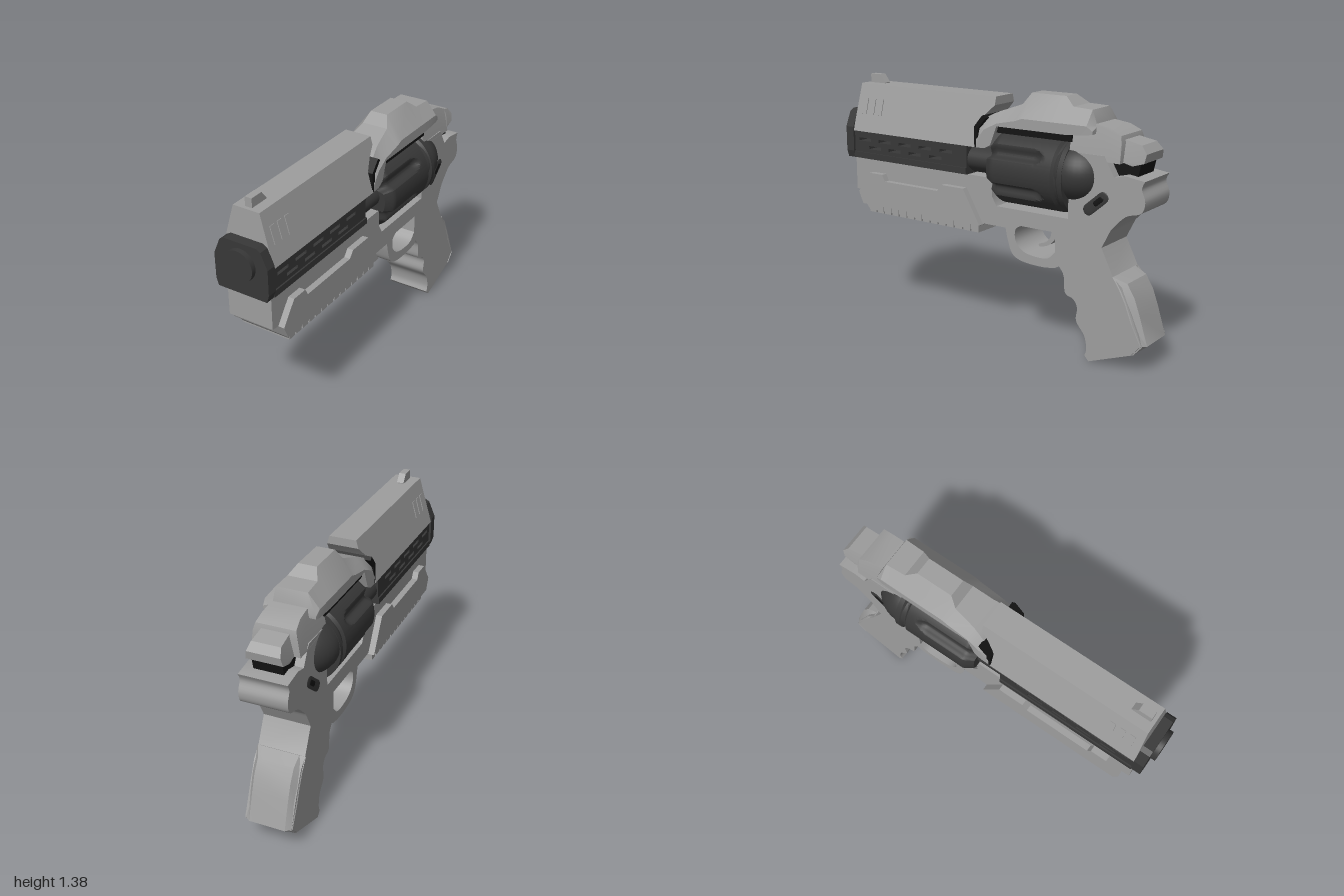
import * as THREE from 'three';
import { toCreasedNormals } from 'three/addons/utils/BufferGeometryUtils.js';

const grey = new THREE.MeshStandardMaterial({ color: 0x9e9e9e });
const dark = new THREE.MeshStandardMaterial({ color: 0x383838 });
const black = new THREE.MeshStandardMaterial({ color: 0x141414 });

const pts = (list) => list.map(([a, b]) => new THREE.Vector2(a, b));

// Side profile in [z, y], extruded evenly to both sides of x = 0
function profile(list, half, holes = []) {
  const shape = new THREE.Shape(pts(list));
  holes.forEach((h) => shape.holes.push(new THREE.Path(pts(h))));
  const geo = new THREE.ExtrudeGeometry(shape, { depth: half * 2, bevelEnabled: false });
  geo.translate(0, 0, -half);
  geo.rotateY(-Math.PI / 2);
  return toCreasedNormals(geo, 0.55);
}

// Narrow a profile with height: scale 1 at y0 down to k at y1
function taper(geo, y0, y1, k) {
  const p = geo.attributes.position;
  for (let i = 0; i < p.count; i++) {
    const t = THREE.MathUtils.clamp((p.getY(i) - y0) / (y1 - y0), 0, 1);
    p.setX(i, p.getX(i) * (1 + (k - 1) * t));
  }
  return toCreasedNormals(geo, 0.4);
}

// Skin over matching cross-sections, capped at both ends
function loft(sections) {
  const out = [];
  const tri = (...v) => v.forEach((q) => out.push(...q));
  const n = sections[0].length;
  for (let i = 0; i < sections.length - 1; i++) {
    for (let j = 0; j < n; j++) {
      const a = sections[i][j], b = sections[i][(j + 1) % n];
      const d = sections[i + 1][j], c = sections[i + 1][(j + 1) % n];
      tri(a, d, c);
      tri(a, c, b);
    }
  }
  const first = sections[0], last = sections[sections.length - 1];
  for (let j = 1; j < n - 1; j++) {
    tri(first[0], first[j], first[j + 1]);
    tri(last[0], last[j + 1], last[j]);
  }
  const geo = new THREE.BufferGeometry();
  geo.setAttribute('position', new THREE.Float32BufferAttribute(out, 3));
  return toCreasedNormals(geo, 0.5);
}

// Smooth curve through [z, y] points
const smooth = (list, n) => new THREE.SplineCurve(pts(list)).getPoints(n).map((p) => [p.x, p.y]);

const rod = (r, z0, z1, y) =>
  new THREE.CylinderGeometry(r, r, z0 - z1, 40).rotateX(Math.PI / 2).translate(0, y, (z0 + z1) / 2);

// Revolving drum with front chamfer, six flutes and a rear groove
function drumGeometry() {
  const geo = new THREE.CylinderGeometry(0.205, 0.205, 0.49, 144, 36);
  geo.rotateX(Math.PI / 2).translate(0, 0, -0.295);
  const p = geo.attributes.position;
  for (let i = 0; i < p.count; i++) {
    const x = p.getX(i), y = p.getY(i), z = p.getZ(i);
    if (Math.hypot(x, y) < 0.01) continue;
    let r = 0.205 - 0.035 * Math.max(0, (z + 0.1) / 0.05);
    const step = Math.PI / 3;
    const d = ((Math.atan2(y, x) + Math.PI * 2) % step) - step / 2;
    const q = (d / 0.19) ** 2 + Math.max(0, (-z - 0.35) / 0.06) ** 2;
    r -= 0.035 * Math.max(0, 1 - q);
    if (z < -0.485 && z > -0.512) r -= 0.014;
    p.setXY(i, (x / 0.205) * r, (y / 0.205) * r);
  }
  return toCreasedNormals(geo.translate(0, 0.957, 0), 0.5);
}

export function createModel() {
  const model = new THREE.Group();
  const add = (name, geo, mat = grey) => {
    const mesh = new THREE.Mesh(geo, mat);
    mesh.name = name;
    model.add(mesh);
    return mesh;
  };

  // Upper slide, front sight and side vents
  add('slide', taper(profile([[0.92, 1.06], [0.91, 1.33], [-0.05, 1.33], [-0.05, 1.285],
    [0, 1.235], [0.04, 1.18], [0.04, 1.06]], 0.152), 1.06, 1.33, 0.5));
  add('frontSight', profile([[0.89, 1.32], [0.89, 1.38], [0.815, 1.38], [0.78, 1.335], [0.78, 1.32]], 0.02));
  for (const s of [-1, 1]) {
    for (const z of [0.855, 0.798, 0.74]) {
      const vent = add('slideVent', new THREE.BoxGeometry(0.012, 0.095, 0.032));
      vent.position.set(s * 0.11, 1.203, z);
      vent.rotation.z = s * 0.273;
    }
  }

  // Barrel shroud with two rows of through slots
  const slots = [];
  const slot = (z, y) => slots.push([[z, y - 0.009], [z - 0.09, y - 0.009], [z - 0.09, y + 0.009], [z, y + 0.009]]);
  for (let i = 0; i < 5; i++) slot(0.884 - i * 0.149, 1.012);
  for (let i = 0; i < 4; i++) slot(0.81 - i * 0.149, 0.968);
  add('barrelShroud', profile([[0.93, 0.9], [0.93, 1.06], [0.1, 1.06], [0.1, 0.9]], 0.142, slots), dark);
  for (const s of [-1, 1]) {
    const strip = add('shroudStrip', new THREE.BoxGeometry(0.012, 0.035, 0.82), dark);
    strip.position.set(s * 0.144, 0.92, 0.51);
  }
  add('barrelRoot', rod(0.085, 0.12, -0.06, 0.98).scale(1.6, 1, 1), dark);

  // Muzzle block and bore plug
  const muzzle = new THREE.Shape(pts([[-0.142, 0.9], [0.142, 0.9], [0.155, 0.94], [0.155, 1.08],
    [0.118, 1.165], [0.092, 1.18], [-0.092, 1.18], [-0.118, 1.165], [-0.155, 1.08], [-0.155, 0.94]]));
  add('muzzleBlock', new THREE.ExtrudeGeometry(muzzle, { depth: 0.055, bevelEnabled: false })
    .translate(0, 0, 0.918), dark);
  add('muzzle', rod(0.086, 1, 0.95, 1.065), dark);

  // Under-barrel body, raised side panels and ribbed rail
  add('underBody', profile([[0.925, 0.9], [0.925, 0.71], [0.88, 0.705], [0.85, 0.64], [0, 0.64], [0, 0.9]], 0.13));
  add('sidePanel', profile([[0.88, 0.705], [0.79, 0.825], [0.695, 0.825], [0.675, 0.787], [0.29, 0.787],
    [0.26, 0.825], [0.11, 0.825], [0, 0.635], [0.85, 0.635]], 0.165));
  add('railCore', profile([[0.85, 0.64], [0.81, 0.592], [0.78, 0.592], [0.78, 0.6], [0.04, 0.6], [0.005, 0.64]], 0.143));
  for (let i = 0; i < 14; i++) {
    const z = 0.79 - i * 0.0575;
    add('railRib', new THREE.BoxGeometry(0.29, 0.052, 0.047).translate(0, 0.614, z));
  }

  // Frame, trigger guard and grip in one outline
  const guard = smooth([[-0.15, 0.64], [-0.165, 0.575], [-0.19, 0.51], [-0.23, 0.48], [-0.3, 0.466],
    [-0.4, 0.464], [-0.47, 0.475]], 36);
  const fingers = smooth([[-0.49, 0.487], [-0.52, 0.44], [-0.53, 0.35], [-0.58, 0.325], [-0.605, 0.28],
    [-0.6, 0.21], [-0.65, 0.14], [-0.665, 0.07], [-0.655, 0.03]], 40);
  const tang = smooth([[-0.97, 1], [-0.955, 0.96], [-0.975, 0.9], [-0.955, 0.84], [-0.87, 0.81], [-0.79, 0.73]], 24);
  const guardHole = smooth([[-0.465, 0.56], [-0.42, 0.517], [-0.34, 0.512], [-0.26, 0.53],
    [-0.215, 0.58], [-0.215, 0.64], [-0.25, 0.665]], 24);
  add('frame', profile([
    [0.06, 0.64], ...guard, ...fingers, [-0.68, 0.003], [-0.94, 0.1], [-0.985, 0.15], [-0.92, 0.31],
    [-0.86, 0.44], [-0.81, 0.49], [-0.74, 0.63], [-0.78, 0.71], ...tang.reverse(), [-0.86, 1.015], [-0.8, 1],
    [-0.76, 1.07], [-0.74, 1.1], [-0.54, 1.1], [-0.54, 0.75], [-0.09, 0.75], [-0.06, 0.8], [-0.06, 0.9], [0.06, 0.9],
  ], 0.13, [[...guardHole, [-0.465, 0.665]]]));

  // Rear shoulder above the frame, narrowing upwards
  add('rearShoulder', taper(profile([[-0.54, 1.09], [-0.54, 1.2], [-0.66, 1.25], [-0.76, 1.235], [-0.82, 1.205],
    [-0.83, 1.17], [-0.83, 1.07], [-0.74, 1.07]], 0.13), 1.12, 1.25, 0.72));

  // Backstrap with bevelled rear edges: [inner z, y, outer z, y]
  add('backstrap', loft([[-0.81, 0.49, -0.815, 0.492], [-0.85, 0.43, -0.878, 0.458], [-0.885, 0.36, -0.92, 0.39],
    [-0.92, 0.27, -0.953, 0.3], [-0.978, 0.155, -1, 0.15], [-0.93, 0.1, -0.945, 0.105]].map(([zi, yi, zo, yo]) => [
    [0.134, yi, zi], [0.1, yo, zo], [-0.1, yo, zo], [-0.134, yi, zi]])));

  // Trigger
  add('trigger', profile(smooth([[-0.375, 0.67], [-0.375, 0.61], [-0.345, 0.57], [-0.3, 0.552], [-0.31, 0.538],
    [-0.37, 0.56], [-0.41, 0.61], [-0.425, 0.67]], 28), 0.03));

  // Drum, recoil domes and top strap
  add('drum', drumGeometry(), dark);
  add('recoilDome', new THREE.SphereGeometry(1, 40, 24).scale(0.2, 0.165, 0.19).translate(0, 0.98, -0.545), dark);
  add('topStrap', new THREE.BoxGeometry(0.25, 0.04, 0.5).translate(0, 1.168, -0.3), black);

  // Dark seam between slide and top housing
  add('seam', profile([[0.045, 1.06], [0.045, 1.17], [-0.01, 1.235], [-0.03, 1.22], [0.02, 1.16], [0.02, 1.06]],
    0.148), black);

  // Top housing: [z, bottom, shoulder, top, half width, top half width]
  add('topHousing', loft([
    [0.03, 1.06, 1.1, 1.165, 0.15, 0.13], [-0.02, 1.06, 1.16, 1.225, 0.149, 0.11], [-0.06, 1.08, 1.18, 1.246, 0.147, 0.1],
    [-0.1, 1.185, 1.2, 1.262, 0.145, 0.09], [-0.22, 1.185, 1.225, 1.305, 0.145, 0.075],
    [-0.26, 1.185, 1.24, 1.365, 0.145, 0.05], [-0.47, 1.185, 1.24, 1.365, 0.145, 0.05],
    [-0.53, 1.185, 1.24, 1.32, 0.145, 0.08], [-0.645, 1.195, 1.24, 1.315, 0.145, 0.085],
    [-0.677, 1.2, 1.215, 1.235, 0.14, 0.09],
  ].map(([z, b, s, t, w, k]) => [[w, b, z], [w, s, z], [k, t, z], [-k, t, z], [-w, s, z], [-w, b, z]])));

  // Hammer and its dark pivot
  add('hammer', taper(profile([[-0.82, 1.075], [-0.82, 1.185], [-0.92, 1.165], [-0.953, 1.125],
    [-0.945, 1.08], [-0.88, 1.06]], 0.097), 1.1, 1.18, 0.75));
  add('hammerPivot', profile([[-0.74, 1.08], [-0.92, 1.07], [-0.905, 1], [-0.78, 0.99]], 0.08), black);

  // Slanted release latch on each side
  for (const s of [-1, 1]) {
    const latch = add('latch', new THREE.CapsuleGeometry(0.03, 0.11, 6, 16).scale(0.15, 1, 1), dark);
    latch.position.set(s * 0.13, 0.853, -0.7);
    latch.rotation.x = -0.86;
    const button = add('latchButton', new THREE.CapsuleGeometry(0.015, 0.04, 4, 12).scale(0.25, 1, 1), black);
    button.position.set(s * 0.133, 0.868, -0.717);
    button.rotation.x = -0.86;
  }
  return model;
}
